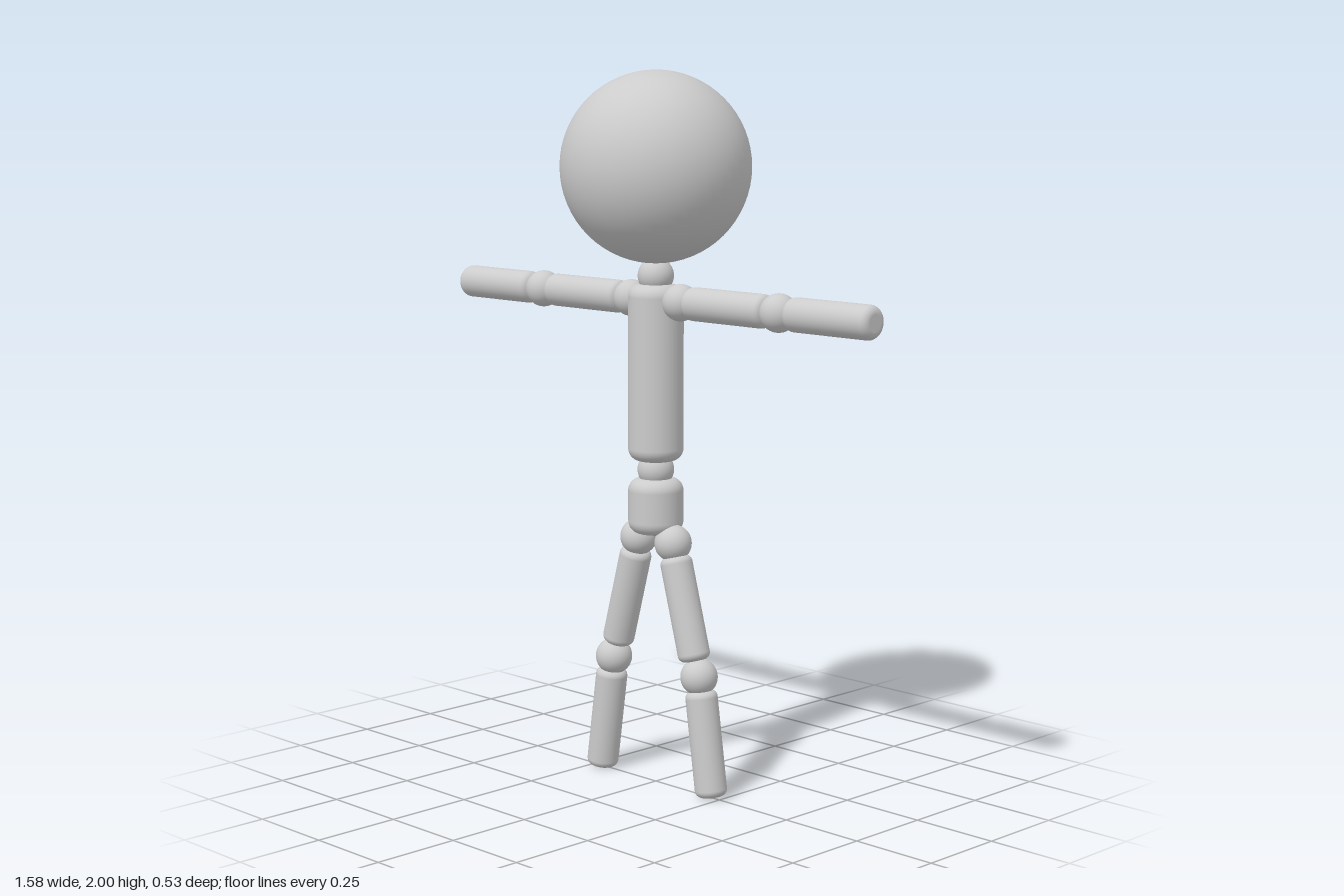
import * as THREE from 'three';

const grey = new THREE.MeshStandardMaterial({ color: 0xcccccc });
const UP = new THREE.Vector3(0, 1, 0);

export function createModel() {
  const model = new THREE.Group();

  function ball(name, x, y, r) {
    const mesh = new THREE.Mesh(new THREE.SphereGeometry(r, 48, 32), grey);
    mesh.name = name;
    mesh.position.set(x, y, 0);
    model.add(mesh);
  }

  // Cylinder with filleted rims running between two points in the z = 0 plane
  function rod(name, [x0, y0], [x1, y1], r, fillet) {
    const a = new THREE.Vector3(x0, y0, 0);
    const b = new THREE.Vector3(x1, y1, 0);
    const h = a.distanceTo(b) / 2;
    const outline = new THREE.Path();
    outline.moveTo(0, -h);
    outline.lineTo(r - fillet, -h);
    outline.absarc(r - fillet, -h + fillet, fillet, -Math.PI / 2, 0);
    outline.lineTo(r, h - fillet);
    outline.absarc(r - fillet, h - fillet, fillet, 0, Math.PI / 2);
    outline.lineTo(0, h);
    const mesh = new THREE.Mesh(new THREE.LatheGeometry(outline.getPoints(8), 40), grey);
    mesh.name = name;
    mesh.position.copy(a).add(b).multiplyScalar(0.5);
    mesh.quaternion.setFromUnitVectors(UP, b.sub(a).normalize());
    model.add(mesh);
  }

  // Head and trunk
  ball('head', 0, 1.737, 0.263);
  ball('neckJoint', 0, 1.44, 0.05);
  rod('torso', [0, 0.925], [0, 1.417], 0.077, 0.035);
  ball('waistJoint', 0, 0.9, 0.051);
  rod('pelvis', [0, 0.72], [0, 0.876], 0.077, 0.035);

  for (const [side, s] of [['left', 1], ['right', -1]]) {
    // Arms stretched out sideways
    const armY = 1.372;
    ball(side + 'Shoulder', s * 0.096, armY, 0.051);
    rod(side + 'UpperArm', [s * 0.13, armY], [s * 0.42, armY], 0.046, 0.02);
    ball(side + 'Elbow', s * 0.458, armY, 0.052);
    rod(side + 'Forearm', [s * 0.497, armY], [s * 0.79, armY], 0.046, 0.023);

    // Legs spread apart
    ball(side + 'Hip', s * 0.068, 0.7, 0.052);
    rod(side + 'Thigh', [s * 0.076, 0.664], [s * 0.155, 0.38], 0.045, 0.02);
    ball(side + 'Knee', s * 0.17, 0.337, 0.052);
    rod(side + 'Shin', [s * 0.177, 0.3], [s * 0.22, 0.005], 0.045, 0.02);
  }
  return model;
}
